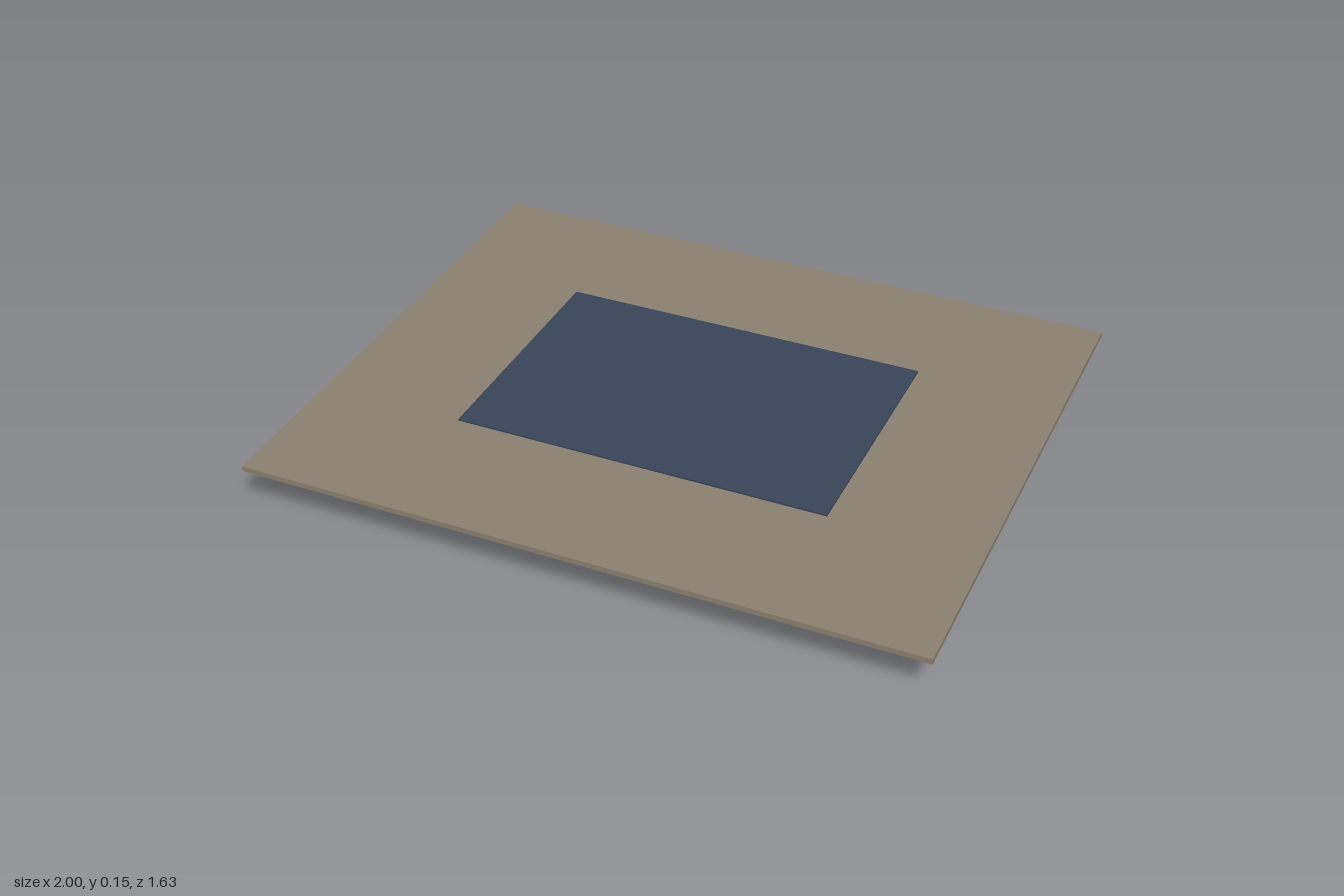
import * as THREE from 'three';

const paint = (color) => new THREE.MeshStandardMaterial({ color });

// Flat slab with rounded corners, between heights y0 and y1
function roundedSlab(halfX, halfZ, radius, y0, y1) {
  const s = new THREE.Shape();
  const x = halfX - radius, z = halfZ - radius;
  s.absarc(x, z, radius, 0, Math.PI / 2);
  s.absarc(-x, z, radius, Math.PI / 2, Math.PI);
  s.absarc(-x, -z, radius, Math.PI, Math.PI * 1.5);
  s.absarc(x, -z, radius, Math.PI * 1.5, Math.PI * 2);
  s.closePath();
  const geo = new THREE.ExtrudeGeometry(s, { depth: y1 - y0, bevelEnabled: false, curveSegments: 6 });
  return geo.rotateX(-Math.PI / 2).translate(0, y0, 0);
}

// Box centred on x and z offsets, between heights y0 and y1
function block(halfX, halfZ, y0, y1, x = 0, z = 0) {
  return new THREE.BoxGeometry(halfX * 2, y1 - y0, halfZ * 2).translate(x, (y0 + y1) / 2, z);
}

export function createModel() {
  const model = new THREE.Group();
  const stone = paint(0x8b8070);
  const glass = paint(0x384458);
  const brass = paint(0x977a28);
  const metal = paint(0x9a99a0);
  const darkMetal = paint(0x85868c);

  const add = (name, geometry, material, parent = model) => {
    const mesh = new THREE.Mesh(geometry, material);
    mesh.name = name;
    parent.add(mesh);
  };

  // Wide top sheet with the dark panel lying on it
  add('topSheet', block(1, 0.815, 0.13, 0.146), stone);
  add('darkPanel', block(0.56, 0.38, 0.144, 0.151), glass);

  // Stepped body hanging below
  add('lowerBody', roundedSlab(0.59, 0.405, 0.03, 0.002, 0.065), metal);
  add('upperBody', roundedSlab(0.575, 0.39, 0.02, 0.065, 0.112), darkMetal);
  add('mountingPlate', roundedSlab(0.59, 0.405, 0.02, 0.112, 0.131), brass);

  // Four straps crossing at the corners, their ends standing proud of the body
  const straps = new THREE.Group();
  straps.name = 'straps';
  for (const side of [-1, 1]) {
    add('lengthwiseStrap', block(0.6, 0.05, 0, 0.14, 0, side * 0.33), brass, straps);
    add('crosswiseStrap', block(0.05, 0.415, 0, 0.14, side * 0.51, 0), brass, straps);
  }
  model.add(straps);

  return model;
}
